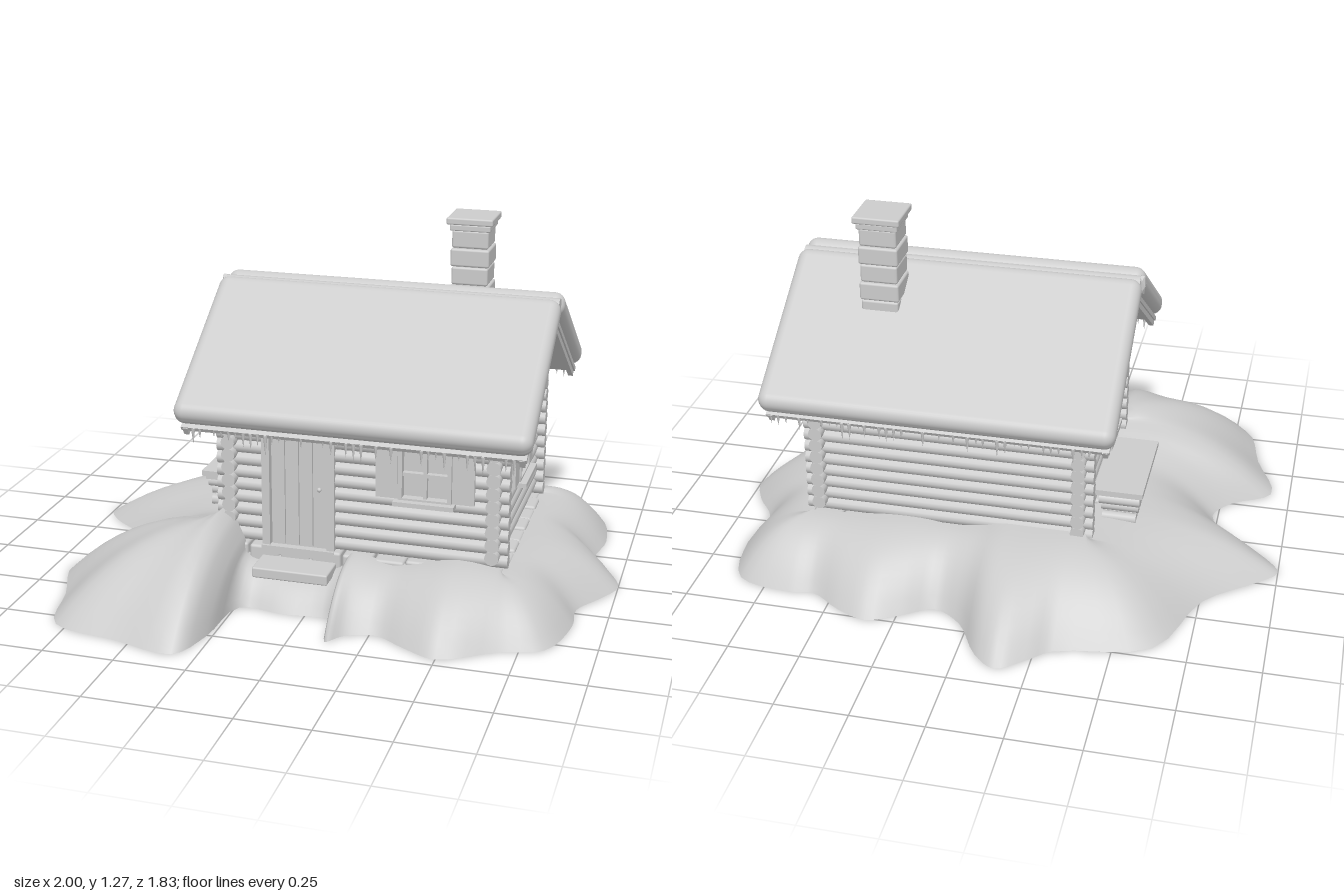
import * as THREE from 'three';
import { RoundedBoxGeometry } from 'three/addons/geometries/RoundedBoxGeometry.js';

const mat = new THREE.MeshStandardMaterial({ color: 0xcccccc });
const matDouble = new THREE.MeshStandardMaterial({ color: 0xcccccc, side: THREE.DoubleSide });
const CX = 0.148, CZ = -0.02;            // centre of the house
const HX = 0.465, HZ = 0.352;            // half distance between wall axes
const PITCH = Math.atan(0.66);

function add(parent, name, geometry, x = 0, y = 0, z = 0, material = mat) {
  const m = new THREE.Mesh(geometry, material);
  m.name = name;
  m.position.set(x, y, z);
  parent.add(m);
  return m;
}

function box(parent, name, x0, x1, y0, y1, z0, z1, r = 0) {
  const s = [x1 - x0, y1 - y0, z1 - z0];
  const g = r ? new RoundedBoxGeometry(...s, 2, r) : new THREE.BoxGeometry(...s);
  return add(parent, name, g, (x0 + x1) / 2, (y0 + y1) / 2, (z0 + z1) / 2);
}

function group(parent, name) {
  const g = new THREE.Group();
  g.name = name;
  parent.add(g);
  return g;
}

// Horizontal log along local x
function log(parent, a, b, y, r = 0.0245) {
  const m = add(parent, 'log', new THREE.CylinderGeometry(r, r, b - a, 12), (a + b) / 2, y, 0);
  m.rotation.z = Math.PI / 2;
}

// Stacked logs along local x, interrupted by openings [x0, x1, y0, y1]
function logWall(parent, name, halfAt, y0, y1, openings) {
  const g = group(parent, name), step = 0.046;
  for (let y = y0 + step / 2; y < y1; y += step) {
    const half = halfAt(y + step / 2);
    let start = -half;
    for (const [a, b, lo, hi] of openings) {
      if (y < lo || y > hi) continue;
      log(g, start, a, y);
      start = b;
    }
    log(g, start, half, y);
  }
  return g;
}

// Cross-barred window with shutters and sill, facing +z
function windowUnit(parent, x, y) {
  const g = group(parent, 'window');
  g.position.set(x, y, 0.02);
  const w = 0.085, h = 0.09, t = 0.014;
  for (const s of [-1, 1]) {
    box(g, 'frameSide', s * w - t / 2, s * w + t / 2, -h, h, -0.03, 0.022);
    box(g, 'frameRail', -w, w, s * h - t / 2, s * h + t / 2, -0.03, 0.022);
    box(g, 'shutter', s * 0.132 - 0.038, s * 0.132 + 0.038, -0.088, 0.09, 0.004, 0.018);
  }
  box(g, 'mullion', -0.006, 0.006, -h, h, -0.015, 0.012);
  box(g, 'crossBar', -w, w, -0.006, 0.006, -0.015, 0.012);
  box(g, 'pane', -w, w, -h, h, -0.012, -0.008);
  box(g, 'sill', -0.105, 0.105, -0.106, -0.09, -0.02, 0.045);
}

// Snow bank: outline points (x, height at the wall, z) lofted inward to the house
function snowBank(parent) {
  const outline = [
    [-0.63, .21, -0.70], [-0.31, .22, -0.79], [-0.23, .22, -0.86], [-0.14, .22, -0.92], [-0.06, .22, -0.86],
    [0.03, .2, -0.71], [0.13, .19, -0.65], [0.24, .2, -0.71], [0.35, .2, -0.76], [0.46, .19, -0.72],
    [0.57, .18, -0.65], [0.66, .18, -0.66], [0.85, .18, -0.615], [0.905, .17, -0.40], [0.885, .17, -0.22],
    [0.96, .17, -0.11], [1.0, .17, 0], [0.95, .17, 0.11], [0.885, .17, 0.22], [0.89, .17, 0.35],
    [0.83, .17, 0.55], [0.68, .18, 0.61], [0.5, .2, 0.71], [0.38, .18, 0.66], [0.27, .16, 0.60],
    [0.17, .18, 0.63], [0.12, .18, 0.69], [0.09, .13, 0.53], [-0.08, .11, 0.53], [-0.235, .13, 0.52],
    [-0.27, .2, 0.76], [-0.335, .29, 0.91], [-0.56, .29, 0.865], [-0.79, .28, 0.81], [-0.86, .27, 0.58],
    [-0.93, .25, 0.35], [-0.79, .22, 0.25], [-0.73, .2, 0.15], [-0.81, .2, 0.02], [-0.95, .2, -0.09],
    [-1.0, .2, -0.17], [-0.94, .2, -0.24], [-0.76, .2, -0.40],
  ].map(p => new THREE.Vector3(...p));
  const curve = new THREE.CatmullRomCurve3(outline, true);
  const N = outline.length * 4, R = 10, pos = [], idx = [];
  for (let i = 0; i < N; i++) {
    const p = curve.getPoint(i / N);
    const ix = THREE.MathUtils.clamp(p.x, -0.345, 0.645), iz = THREE.MathUtils.clamp(p.z, -0.4, 0.36);
    for (let j = 0; j <= R; j++) {
      const t = j / R;
      pos.push(ix + (p.x - ix) * t, p.y * (1 - t ** 2.3), iz + (p.z - iz) * t);
      if (j === R) continue;
      const a = i * (R + 1) + j, b = ((i + 1) % N) * (R + 1) + j;
      idx.push(a, b, a + 1, b, b + 1, a + 1);
    }
  }
  const g = new THREE.BufferGeometry();
  g.setAttribute('position', new THREE.Float32BufferAttribute(pos, 3));
  g.setIndex(idx);
  g.computeVertexNormals();
  add(parent, 'snowBank', g, 0, 0, 0, matDouble);
}

export function createModel() {
  const root = new THREE.Group();
  root.name = 'logCabin';
  snowBank(root);

  // Foundation stones under all four walls
  const stones = group(root, 'foundation');
  for (const s of [-1, 1]) {
    for (let i = 0; i < 9; i++) {
      const x = CX - HX - 0.04 + i * 0.112, z = CZ + s * HZ;
      box(stones, 'stone', x, x + 0.106, 0.1, 0.18 - (i % 3) * 0.004, z - 0.045, z + 0.045, 0.01);
    }
    for (let i = 0; i < 6; i++) {
      const x = CX + s * HX, z = CZ - HZ + 0.05 + i * 0.102;
      box(stones, 'stone', x - 0.045, x + 0.045, 0.1, 0.18 - (i % 2) * 0.005, z, z + 0.096, 0.01);
    }
  }

  // Long walls, then gable walls set half a log higher
  const longHalf = () => HX + 0.05;
  const front = logWall(root, 'frontWall', longHalf, 0.18, 0.68,
    [[-0.19 - CX, 0.05 - CX, 0, 0.625], [0.295 - CX, 0.465 - CX, 0.4, 0.58]]);
  front.position.set(CX, 0, CZ + HZ);
  windowUnit(front, 0.378 - CX, 0.492);
  const back = logWall(root, 'backWall', longHalf, 0.18, 0.68, []);
  back.position.set(CX, 0, CZ - HZ);
  for (const s of [-1, 1]) {
    const off = -s * 0.025;
    const wall = logWall(root, 'gableWall', y => Math.min(HZ + 0.05, (0.945 - y) / 0.66), 0.203, 0.72,
      [[off - 0.085, off + 0.085, 0.4, 0.58]]);
    wall.position.set(CX + s * HX, 0, CZ);
    wall.rotation.y = s * Math.PI / 2;
    windowUnit(wall, off, 0.49);
    // Upright boards with sloping tops
    const n = 12, w = 0.66 / n;
    for (let i = 0; i < n; i++) {
      const a = -0.33 + i * w + 0.002, b = a + w - 0.004, top = u => Math.max(0.735, 0.958 - 0.66 * Math.abs(u));
      const shape = new THREE.Shape([[a, 0.72], [b, 0.72], [b, top(b)], [a, top(a)]].map(p => new THREE.Vector2(...p)));
      add(wall, 'gableBoard', new THREE.ExtrudeGeometry(shape, { depth: 0.025, bevelEnabled: false }), 0, 0, -0.012);
    }
    box(wall, 'gableBacking', -0.3, 0.3, 0.72, 0.75, -0.012, 0.006);
    box(wall, 'gableSill', -0.325, 0.325, 0.722, 0.738, -0.02, 0.026);
  }

  // Door, frame, handle and doorstep
  const door = group(root, 'door');
  door.position.z = CZ + HZ;
  for (let i = 0; i < 4; i++) {
    const x = -0.17 + i * 0.05;
    box(door, 'doorBoard', x + 0.001, x + 0.048, 0.18, 0.62, -0.008, 0.018);
  }
  for (const x of [-0.2, 0.032]) box(door, 'doorPost', x, x + 0.028, 0.17, 0.635, -0.03, 0.035);
  box(door, 'lintel', -0.21, 0.07, 0.625, 0.655, -0.03, 0.035);
  box(door, 'threshold', -0.2, 0.06, 0.15, 0.18, -0.03, 0.045);
  add(door, 'doorHandle', new THREE.SphereGeometry(0.008, 10, 8), 0.005, 0.4, 0.026);
  box(door, 'lampBracket', 0.085, 0.11, 0.58, 0.63, 0.02, 0.05, 0.006);
  box(root, 'doorstep', -0.2, 0.07, 0.105, 0.143, 0.36, 0.49, 0.006);

  // Roof boards with a thick snow slab on each slope
  for (const s of [-1, 1]) {
    const place = (m, dz, y) => {
      m.position.set(0.15, y, CZ + s * dz);
      m.rotation.x = s * PITCH;
    };
    place(add(root, 'roofBoards', new THREE.BoxGeometry(1.18, 0.016, 0.615)), 0.257, 0.796);
    place(add(root, 'roofSnow', new RoundedBoxGeometry(1.22, 0.086, 0.635, 5, 0.038)), 0.282, 0.845);
    for (const e of [-1, 1]) {
      const barge = add(root, 'bargeBoard', new THREE.BoxGeometry(0.018, 0.032, 0.61));
      place(barge, 0.255, 0.784);
      barge.position.x += e * 0.575;
    }
    // Icicles of uneven length along the eave
    const eave = group(root, 'icicles');
    for (let i = 0; i < 46; i++) {
      const k = Math.abs(Math.sin(i * 12.99 + s * 4.1) * 437.58) % 1;
      if (k < 0.25) continue;
      const len = 0.015 + 0.065 * k * k;
      const c = add(eave, 'icicle', new THREE.ConeGeometry(0.004 + 0.004 * k, len, 6),
        -0.43 + i * 0.0255 + k * 0.01, 0.632 - len / 2, CZ + s * (0.505 + 0.012 * k));
      c.rotation.x = Math.PI;
    }
  }
  const ridge = add(root, 'ridgeLog', new THREE.CylinderGeometry(0.032, 0.032, 1.2, 14), 0.15, 1.003, CZ);
  ridge.rotation.z = Math.PI / 2;
  add(root, 'ridgeEnd', new THREE.IcosahedronGeometry(0.04, 0), -0.455, 1.003, CZ).scale.set(0.35, 1, 0.6);

  // Chimney of stone courses with a stepped cap
  const chimney = group(root, 'chimney');
  for (let i = 0; i < 6; i++) {
    const y = 0.83 + i * 0.066, d = i % 2 ? 0.065 : 0.069;
    box(chimney, 'stoneCourse', 0.41 - d, 0.41 + d, y, y + 0.064, -0.193 - d, -0.193 + d, 0.008);
  }
  box(chimney, 'chimneyCore', 0.352, 0.468, 0.8, 1.24, -0.25, -0.135);
  box(chimney, 'capBase', 0.338, 0.482, 1.222, 1.245, -0.265, -0.121, 0.005);
  box(chimney, 'capSlab', 0.328, 0.492, 1.245, 1.27, -0.275, -0.111, 0.006);

  // Firewood stacked under a plank shelf on the left side of the front
  const wood = group(root, 'woodStack');
  for (let row = 0; row < 3; row++) {
    for (let i = 0; i < 8 - (row % 2); i++) {
      const g = new THREE.CylinderGeometry(0.02, 0.02, 0.12 + 0.012 * ((i * 3 + row) % 3), 8);
      const m = add(wood, 'firewood', g, -0.435, 0.196 + row * 0.036, -0.235 + (i + (row % 2) / 2) * 0.042);
      m.rotation.z = Math.PI / 2;
    }
  }
  box(wood, 'shelf', -0.52, -0.345, 0.302, 0.322, -0.275, 0.105);
  for (const z of [-0.25, 0.07]) box(wood, 'shelfBearer', -0.51, -0.345, 0.285, 0.302, z, z + 0.02);
  return root;
}
